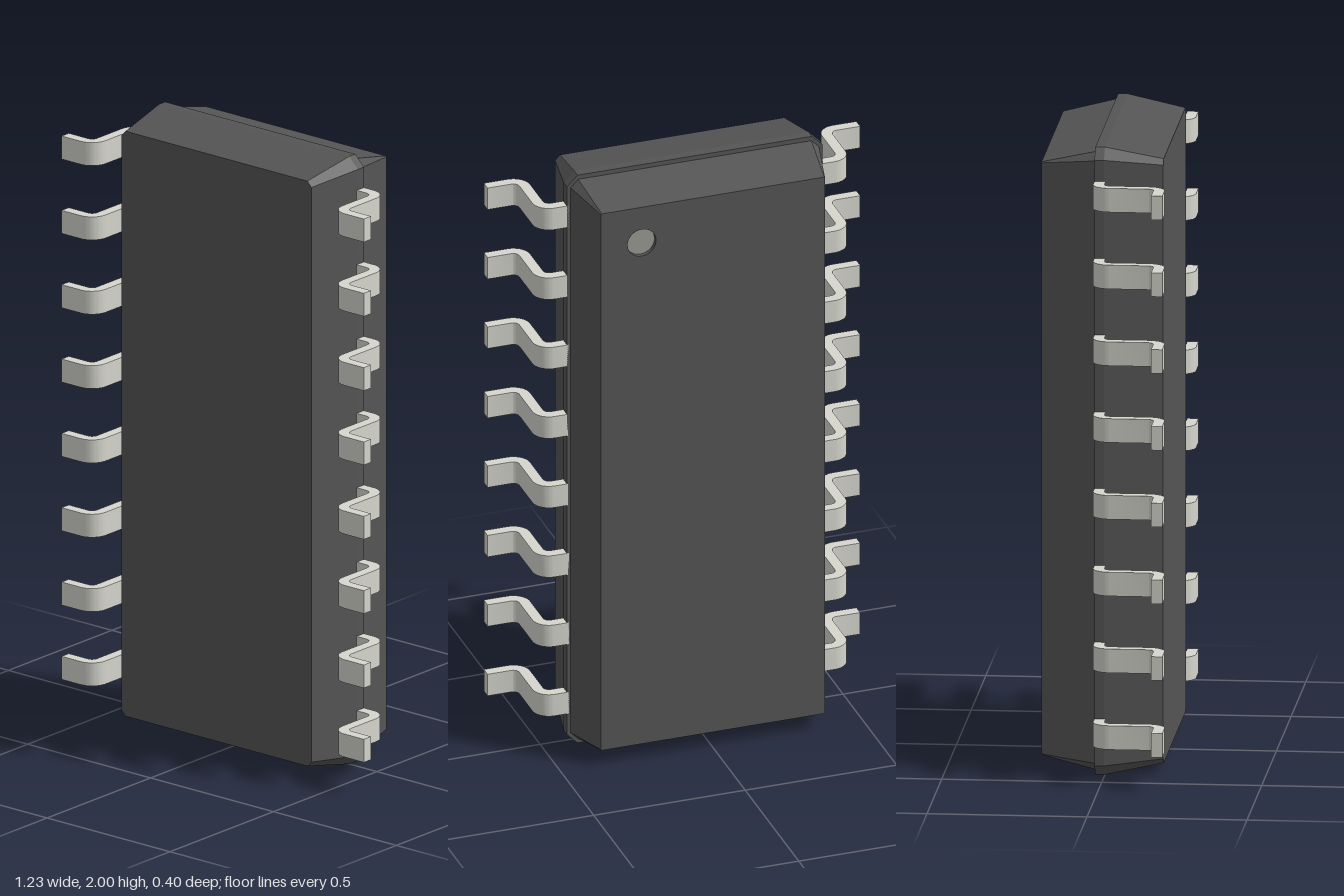
import * as THREE from 'three';
import { toCreasedNormals } from 'three/addons/utils/BufferGeometryUtils.js';

const MID_Y = 1;

// Chamfered rectangle, counter-clockwise seen from +z
function ring(hw, hh, c) {
  return [
    [hw, -hh + c], [hw, hh - c], [hw - c, hh], [-hw + c, hh],
    [-hw, hh - c], [-hw, -hh + c], [-hw + c, -hh], [hw - c, -hh],
  ].map(([x, y]) => new THREE.Vector2(x, y));
}

// Flat-faced skin through rings of increasing z
function loft(sections) {
  const pos = [];
  for (let s = 0; s < sections.length - 1; s++) {
    const [lo, hi] = [sections[s], sections[s + 1]];
    const a = ring(...lo.size), b = ring(...hi.size);
    for (let i = 0; i < a.length; i++) {
      const j = (i + 1) % a.length;
      const p = [a[i].x, a[i].y, lo.z], q = [a[j].x, a[j].y, lo.z];
      const r = [b[j].x, b[j].y, hi.z], t = [b[i].x, b[i].y, hi.z];
      pos.push(...p, ...q, ...r, ...p, ...r, ...t);
    }
  }
  const g = new THREE.BufferGeometry();
  g.setAttribute('position', new THREE.Float32BufferAttribute(pos, 3));
  g.computeVertexNormals();
  return g;
}

// Gull-wing lead: profile in x/z, extruded along y
function leadGeometry() {
  const x0 = 0.415, x1 = 0.482, x2 = 0.517, x3 = 0.615;
  const z0 = -0.03, z1 = 0.005, z2 = 0.165, z3 = 0.2;
  const R = 0.055, r = 0.02, H = Math.PI / 2, width = 0.076;
  const s = new THREE.Shape();
  s.moveTo(x0, z0);
  s.lineTo(x2 - R, z0);
  s.absarc(x2 - R, z0 + R, R, -H, 0, false);
  s.lineTo(x2, z2 - r);
  s.absarc(x2 + r, z2 - r, r, Math.PI, H, true);
  s.lineTo(x3, z2);
  s.lineTo(x3, z3);
  s.lineTo(x1 + R, z3);
  s.absarc(x1 + R, z3 - R, R, H, Math.PI, false);
  s.lineTo(x1, z1 + r);
  s.absarc(x1 - r, z1 + r, r, 0, -H, true);
  s.lineTo(x0, z1);
  s.closePath();
  const g = new THREE.ExtrudeGeometry(s, { depth: width, bevelEnabled: false, curveSegments: 8 });
  g.translate(0, 0, -width / 2).rotateX(H);
  return toCreasedNormals(g, 0.6);
}

export function createModel() {
  const model = new THREE.Group();
  model.name = 'chipPackage';
  const plastic = new THREE.MeshStandardMaterial({ color: 0x555555 });
  const metal = new THREE.MeshStandardMaterial({ color: 0xd6d6ce });
  const dotPaint = new THREE.MeshStandardMaterial({ color: 0x9c9c94 });
  const add = (parent, name, geo, mat) => {
    const m = new THREE.Mesh(geo, mat);
    m.name = name;
    parent.add(m);
    return m;
  };

  // Moulded body: two tapered halves meeting at a stepped parting line
  const body = new THREE.Group();
  body.name = 'body';
  body.position.y = MID_Y;
  model.add(body);
  const sections = [
    { z: -0.2, size: [0.37, 0.945, 0.003] },
    { z: -0.03, size: [0.41, 0.985, 0.025] },
    { z: -0.03, size: [0.422, 1, 0.035] },
    { z: 0, size: [0.422, 1, 0.035] },
    { z: 0.182, size: [0.387, 0.963, 0.017] },
  ];
  add(body, 'bodySides', loft(sections), plastic);
  const front = sections[4], back = sections[0];
  add(body, 'frontFace', new THREE.ShapeGeometry(new THREE.Shape(ring(...front.size))), plastic)
    .position.z = front.z;

  // Back face with the round index recess
  const dot = { x: 0.235, y: 0.82, r: 0.047, depth: 0.015 };
  const backShape = new THREE.Shape(ring(...back.size));
  backShape.holes.push(new THREE.Path().absarc(-dot.x, dot.y, dot.r, 0, Math.PI * 2, true));
  add(body, 'backFace', new THREE.ShapeGeometry(backShape, 16).rotateY(Math.PI), plastic)
    .position.z = back.z;
  const wallMat = plastic.clone();
  wallMat.side = THREE.DoubleSide;
  const wall = new THREE.CylinderGeometry(dot.r, dot.r, dot.depth, 32, 1, true).rotateX(Math.PI / 2);
  add(body, 'indexRecessWall', wall, wallMat).position.set(dot.x, dot.y, back.z + dot.depth / 2);
  add(body, 'indexRecessFloor', new THREE.CircleGeometry(dot.r, 32).rotateY(Math.PI), dotPaint)
    .position.set(dot.x, dot.y, back.z + dot.depth);

  // Eight leads down each side
  const lead = leadGeometry();
  for (const side of ['left', 'right']) {
    const row = new THREE.Group();
    row.name = side + 'Leads';
    model.add(row);
    for (let i = 0; i < 8; i++) {
      const m = add(row, side + 'Lead' + (i + 1), lead, metal);
      m.position.y = MID_Y + 0.003 + (i - 3.5) * 0.2447;
      if (side === 'right') m.rotation.z = Math.PI;
    }
  }
  return model;
}
